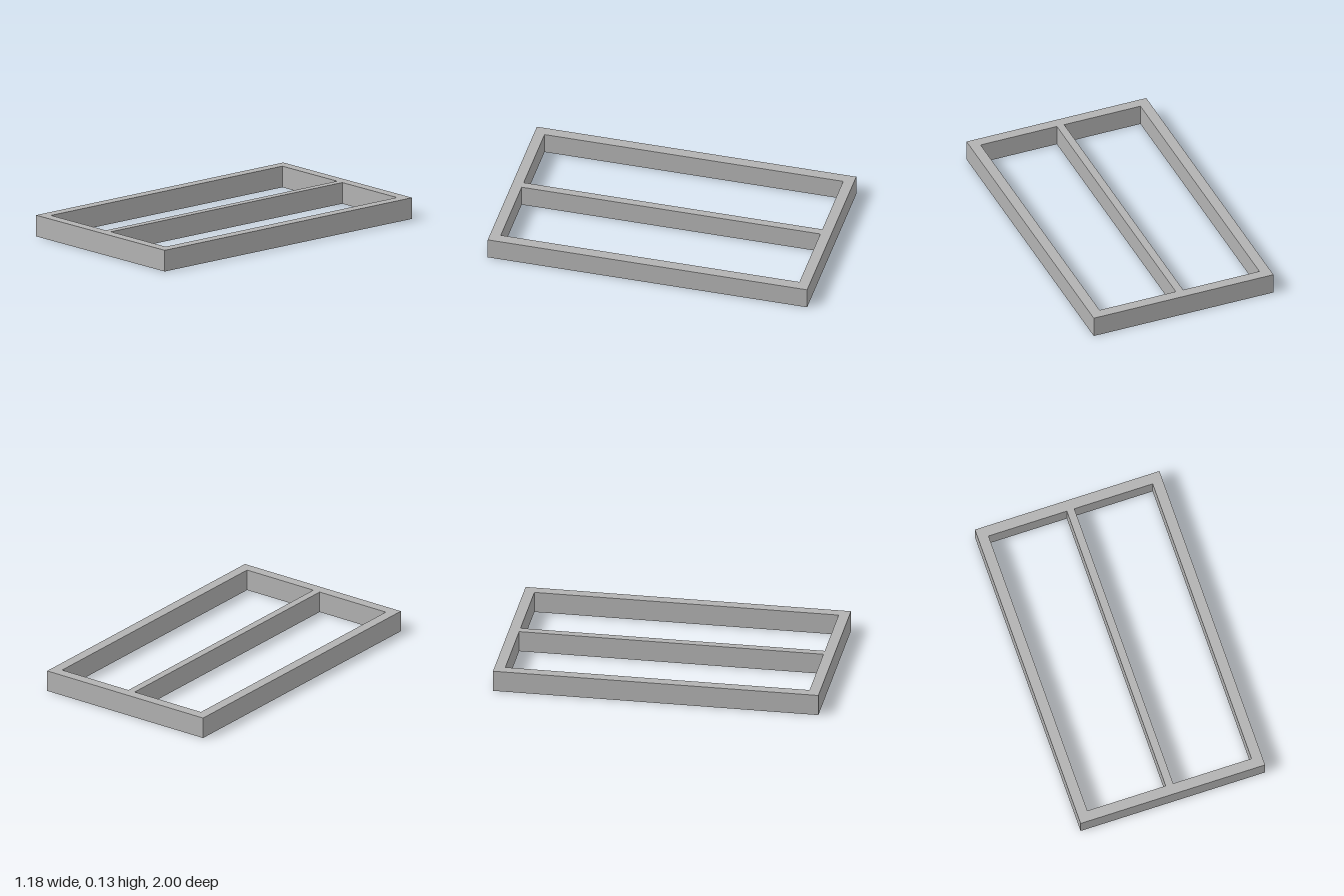
import * as THREE from 'three';

const HALF_W = 0.59, HALF_L = 1, HEIGHT = 0.132;
const RAIL = 0.065;      // width of the outer rails
const HALF_BAR = 0.024;  // half width of the centre bar

function rectangle(path, x0, x1, y0, y1) {
  path.moveTo(x0, y0);
  path.lineTo(x1, y0);
  path.lineTo(x1, y1);
  path.lineTo(x0, y1);
  path.closePath();
  return path;
}

export function createModel() {
  const group = new THREE.Group();
  group.name = 'dividedFrame';
  const grey = new THREE.MeshStandardMaterial({ color: 0xb2b2b2 });
  grey.name = 'grey';

  // Outer frame with two long openings either side of the centre bar
  const outline = rectangle(new THREE.Shape(), -HALF_W, HALF_W, -HALF_L, HALF_L);
  const inner = HALF_W - RAIL, end = HALF_L - RAIL;
  for (const [x0, x1] of [[-inner, -HALF_BAR], [HALF_BAR, inner]]) {
    outline.holes.push(rectangle(new THREE.Path(), x0, x1, -end, end));
  }

  // Extrude upwards from the ground
  const geometry = new THREE.ExtrudeGeometry(outline, { depth: HEIGHT, bevelEnabled: false });
  geometry.rotateX(-Math.PI / 2);
  const frame = new THREE.Mesh(geometry, grey);
  frame.name = 'frame';
  group.add(frame);
  return group;
}
